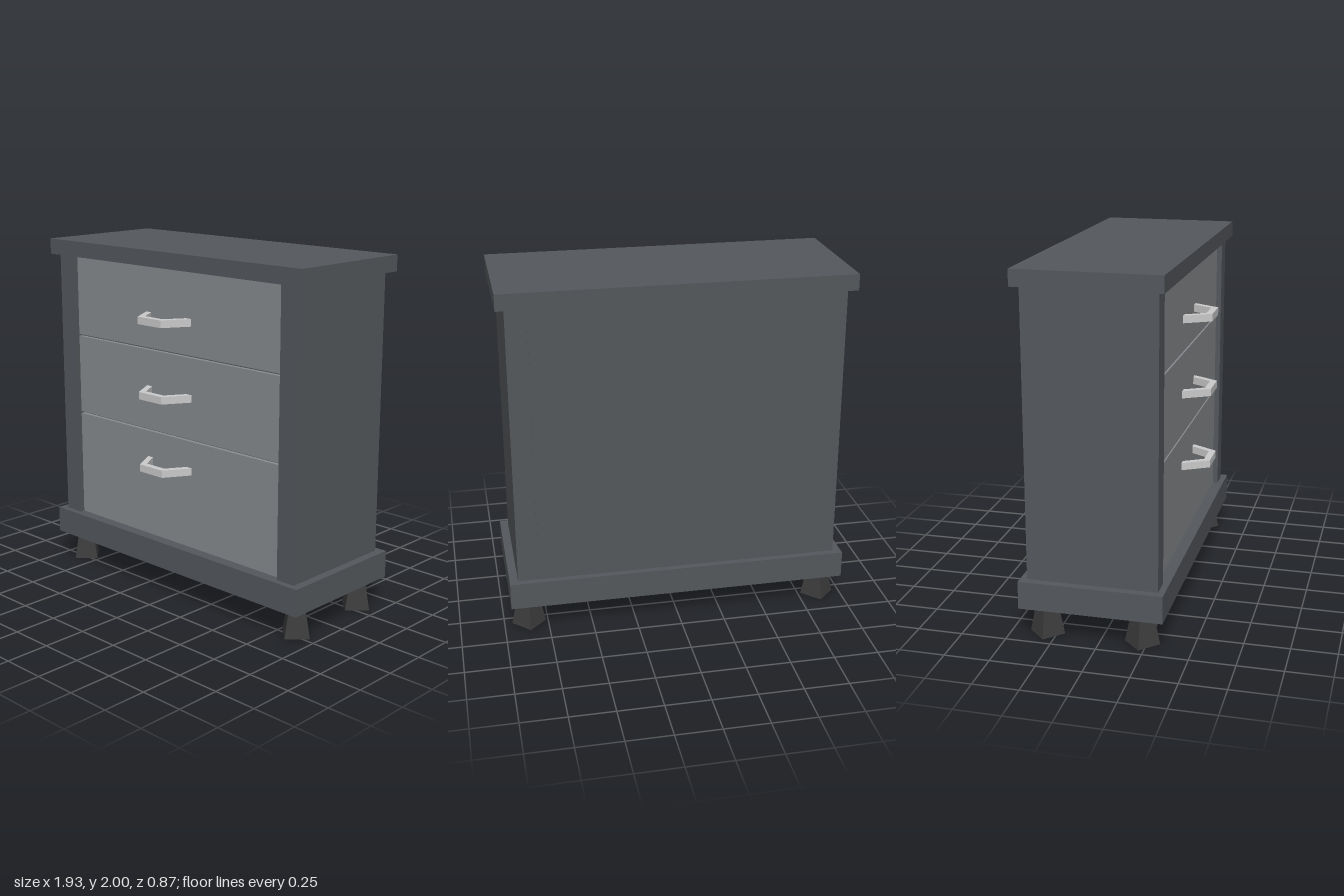
import * as THREE from 'three';

const mat = (name, color) => {
  const m = new THREE.MeshStandardMaterial({ color });
  m.name = name;
  return m;
};

export function createModel() {
  const model = new THREE.Group();
  model.name = 'chestOfDrawers';
  const frame = mat('dark grey frame', 0x54585c);
  const front = mat('light grey drawer', 0x888b8f);
  const metal = mat('pale metal', 0xcbcbcb);
  const foot = mat('black leg', 0x3c3c3c);

  const add = (name, geometry, material) => {
    const mesh = new THREE.Mesh(geometry, material);
    mesh.name = name;
    model.add(mesh);
    return mesh;
  };
  // Box given by its limits on each axis
  const box = (name, [x0, x1], [y0, y1], [z0, z1], material) =>
    add(name, new THREE.BoxGeometry(x1 - x0, y1 - y0, z1 - z0), material)
      .position.set((x0 + x1) / 2, (y0 + y1) / 2, (z0 + z1) / 2);

  // Top board and plinth
  box('topBoard', [-0.967, 0.963], [1.91, 2], [-0.435, 0.355], frame);
  box('plinth', [-0.967, 0.963], [0.17, 0.325], [-0.435, 0.355], frame);

  // Side panels, inner carcass and back
  box('rightSide', [-0.92, -0.803], [0.325, 1.91], [-0.397, 0.32], frame);
  box('leftSide', [0.8, 0.916], [0.325, 1.91], [-0.397, 0.32], frame);
  box('carcass', [-0.803, 0.8], [0.325, 1.91], [-0.39, 0.265], frame);
  box('backPanel', [-0.803, 0.8], [0.325, 1.91], [-0.4, -0.39], frame);

  // Handle: bent flat bar, drawn from above and extruded upwards
  const bar = new THREE.Shape([
    [-0.22, 0.285], [-0.18, 0.285], [-0.11, 0.4], [0.03, 0.4],
    [0.1, 0.285], [0.14, 0.285], [0.05, 0.437], [-0.13, 0.437],
  ].map(([x, z]) => new THREE.Vector2(x, z)));
  const handle = new THREE.ExtrudeGeometry(bar, { depth: 0.042, bevelEnabled: false });
  handle.rotateX(Math.PI / 2);

  // Drawers: bottom, top and upper edge of the handle
  [[0.325, 0.951, 0.798], [0.963, 1.427, 1.219], [1.439, 1.91, 1.644]].forEach(([y0, y1, h], i) => {
    box(`drawer${i + 1}`, [-0.803, 0.8], [y0, y1], [0.26, 0.29], front);
    add(`handle${i + 1}`, handle, metal).position.y = h;
  });

  // Four-sided tapered legs, set cornerwise
  const leg = new THREE.CylinderGeometry(0.062, 0.097, 0.17, 4).toNonIndexed();
  leg.computeVertexNormals();
  for (const x of [-0.864, 0.859])
    for (const z of [-0.305, 0.223])
      add('leg', leg, foot).position.set(x, 0.085, z);

  return model;
}
